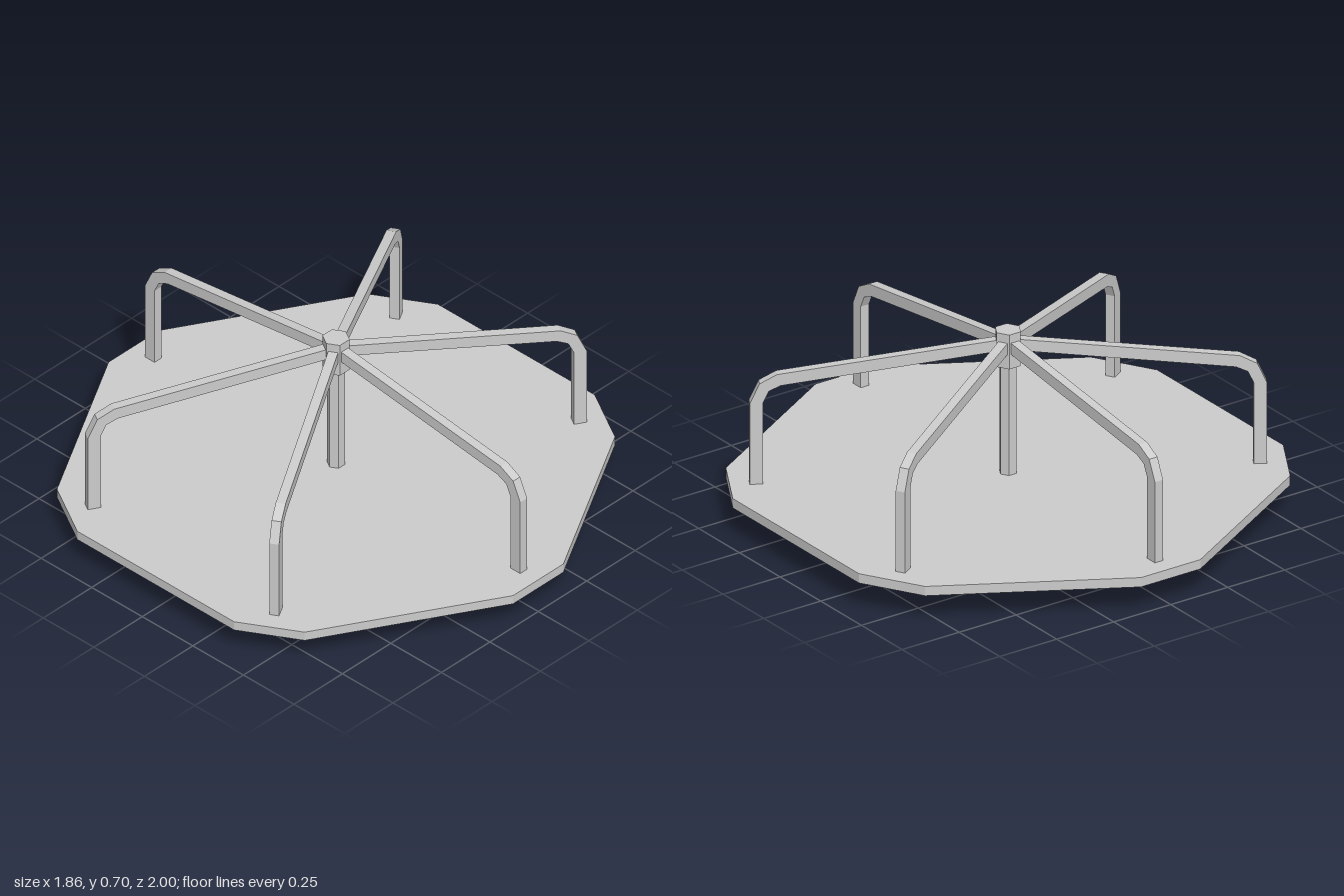
import * as THREE from 'three';

const solid = new THREE.MeshStandardMaterial({ color: 0xcccccc, flatShading: true });
const open = new THREE.MeshStandardMaterial({ color: 0xcccccc, flatShading: true, side: THREE.DoubleSide });

function addMesh(parent, name, geometry, material) {
  const mesh = new THREE.Mesh(geometry, material);
  mesh.name = name;
  parent.add(mesh);
  return mesh;
}

// Upright hexagonal prism with two corners on the x axis
function hexPrism(radius, bottom, top, openEnded) {
  return new THREE.CylinderGeometry(radius, radius, top - bottom, 6, 1, openEnded)
    .rotateY(Math.PI / 6)
    .translate(0, (bottom + top) / 2, 0);
}

// Top plate with a rim, hollow below; twelve corners drawn together in pairs
function deckGeometry() {
  const radius = 1.0083;
  const profile = [[radius, 0.105], [radius, 0.142], [0, 0.142]].map(([r, y]) => new THREE.Vector2(r, y));
  const lathe = new THREE.LatheGeometry(profile, 12);
  const position = lathe.attributes.position;
  const up = new THREE.Vector3(0, 1, 0);
  const halfCut = 0.129;
  const p = new THREE.Vector3();
  for (let v = 0; v < position.count; v++) {
    const corner = Math.floor(v / profile.length);
    const turn = corner % 2 === 0 ? halfCut : Math.PI / 6 - halfCut;
    p.fromBufferAttribute(position, v).applyAxisAngle(up, turn);
    position.setXYZ(v, p.x, p.y, p.z);
  }
  const deck = lathe.toNonIndexed();
  deck.computeVertexNormals();
  return deck;
}

// Bent handrail: side outline in radius and height, extruded to its width
function railGeometry() {
  const width = 0.036;
  const outline = [
    [0.02, 0.673], [0.83, 0.571], [0.893, 0.537], [0.928, 0.46], [0.928, 0.142],
    [0.88, 0.142], [0.88, 0.462], [0.859, 0.507], [0.816, 0.527], [0.02, 0.629],
  ].map(([r, y]) => new THREE.Vector2(r, y));
  return new THREE.ExtrudeGeometry(new THREE.Shape(outline), { depth: width, bevelEnabled: false })
    .translate(0, 0, -width / 2);
}

export function createModel() {
  const model = new THREE.Group();
  model.name = 'merryGoRound';

  addMesh(model, 'deck', deckGeometry(), open);

  // Central tube, open at the bottom, and the hub that holds the rails
  addMesh(model, 'post', hexPrism(0.033, 0, 0.58, true), open);
  addMesh(model, 'hub', hexPrism(0.05, 0.569, 0.704, false), solid);

  const rail = railGeometry();
  for (let i = 0; i < 6; i++) {
    addMesh(model, `handrail${i + 1}`, rail, solid).rotation.y = Math.PI / 6 + (i * Math.PI) / 3;
  }

  return model;
}
